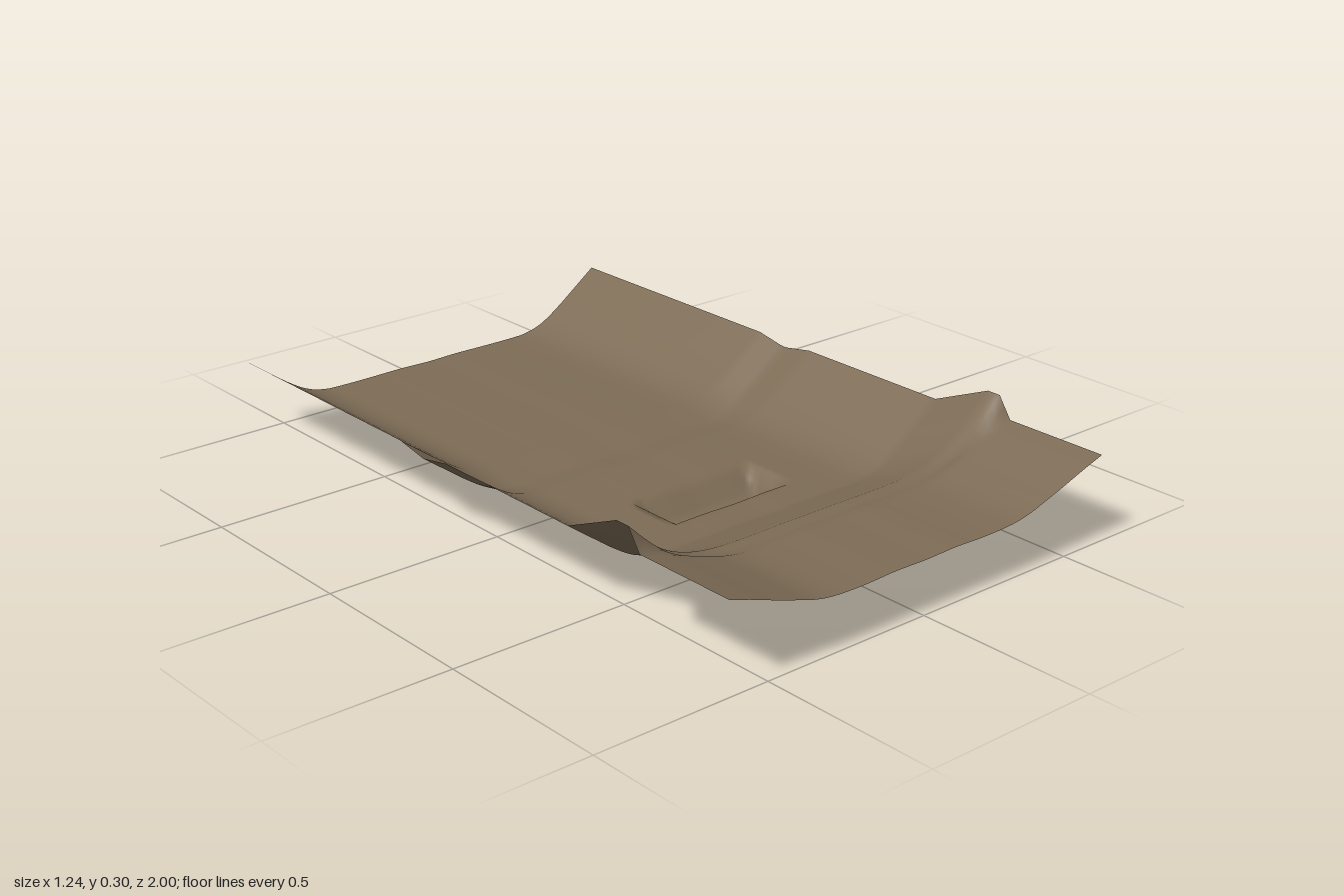
import * as THREE from 'three';

// Half cross-sections: height at each distance from the centre line
const across = [0, 0.1, 0.2, 0.3, 0.36, 0.42, 0.48, 0.55, 0.62];
const bed = [0.063, 0.065, 0.064, 0.064, 0.067, 0.084, 0.119, 0.169, 0.22];
const apron = [0.145, 0.147, 0.144, 0.147, 0.157, 0.175, 0.194, 0.218, 0.24];
const ridge = [0.135, 0.135, 0.134, 0.136, 0.142, 0.156, 0.182, 0.232, 0.297];
const crease = bed.map((y) => y - 0.018);

// Sections along the length, back to front
const stations = [
  [-1, bed], [-0.24, bed], [-0.14, crease], [-0.04, bed],
  [0.44, bed], [0.62, ridge], [0.66, ridge], [0.7, apron], [1, apron],
];

const curveOf = (ys) => {
  const n = across.length;
  // Smooth cubic through the samples, mirrored at the centre line
  return (x) => {
    const a = Math.abs(x);
    let i = 0;
    while (i < n - 2 && a > across[i + 1]) i++;
    const slope = (k) => k === 0 ? 0
      : k === n - 1 ? (ys[k] - ys[k - 1]) / (across[k] - across[k - 1])
      : (ys[k + 1] - ys[k - 1]) / (across[k + 1] - across[k - 1]);
    const h = across[i + 1] - across[i];
    const t = Math.min(1, (a - across[i]) / h);
    const t2 = t * t, t3 = t2 * t;
    return (2 * t3 - 3 * t2 + 1) * ys[i] + (t3 - 2 * t2 + t) * h * slope(i)
      + (3 * t2 - 2 * t3) * ys[i + 1] + (t3 - t2) * h * slope(i + 1);
  };
};

const sections = stations.map(([z, ys]) => ({ z, height: curveOf(ys) }));

function heightAt(x, z) {
  let i = 0;
  while (i < sections.length - 2 && z > sections[i + 1].z) i++;
  const a = sections[i], b = sections[i + 1];
  const t = THREE.MathUtils.clamp((z - a.z) / (b.z - a.z), 0, 1);
  const y = THREE.MathUtils.lerp(a.height(x), b.height(x), t);
  // V-shaped pocket pressed into the bed
  const alongZ = z < 0.24 ? (z - 0.16) / 0.08 : (0.34 - z) / 0.1;
  const alongX = (0.2 - Math.abs(x)) / 0.04;
  const pocket = THREE.MathUtils.clamp(Math.min(alongX, alongZ), 0, 1);
  return Math.max(0, y - 0.063 * pocket);
}

export function createModel() {
  const group = new THREE.Group();
  group.name = 'curvedSheet';

  const brown = new THREE.MeshStandardMaterial({ color: 0x7d6c56, side: THREE.DoubleSide });
  brown.name = 'dullBrown';

  // One thin sheet, its vertices lifted by the section rule
  const geometry = new THREE.PlaneGeometry(1.24, 2, 62, 100);
  geometry.rotateX(-Math.PI / 2);
  const p = geometry.attributes.position;
  for (let i = 0; i < p.count; i++) p.setY(i, heightAt(p.getX(i), p.getZ(i)));
  geometry.computeVertexNormals();

  const sheet = new THREE.Mesh(geometry, brown);
  sheet.name = 'sheet';
  group.add(sheet);
  return group;
}
